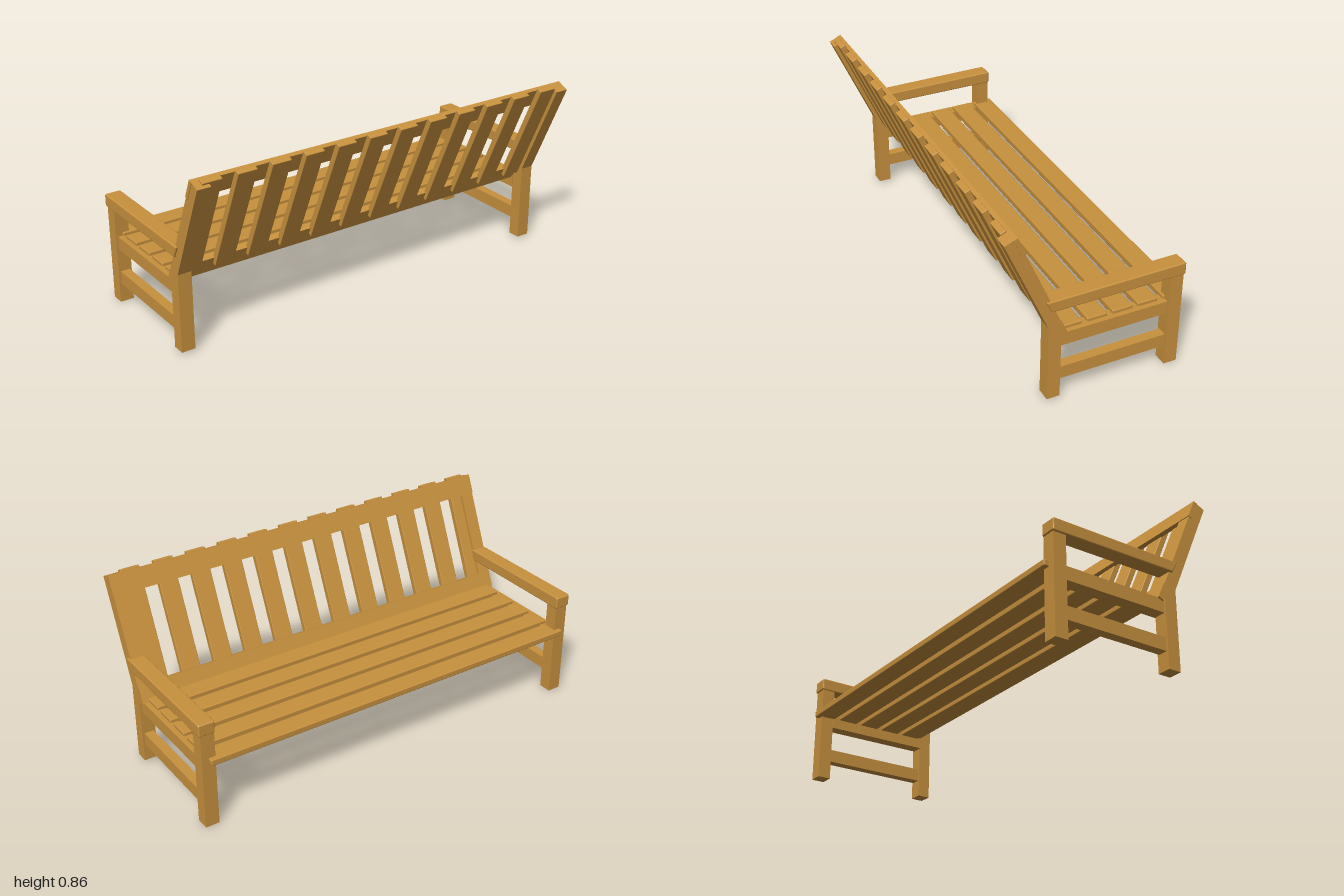
import * as THREE from 'three';
import { RoundedBoxGeometry } from 'three/addons/geometries/RoundedBoxGeometry.js';

const wood = new THREE.MeshStandardMaterial({ color: 0xc8913e });

// Box given by its extents on each axis; a radius softens the edges
function board(parent, name, [x0, x1], [y0, y1], [z0, z1], radius = 0) {
  const size = [x1 - x0, y1 - y0, z1 - z0];
  const geometry = radius
    ? new RoundedBoxGeometry(...size, 2, radius)
    : new THREE.BoxGeometry(...size);
  const mesh = new THREE.Mesh(geometry, wood);
  mesh.position.set((x0 + x1) / 2, (y0 + y1) / 2, (z0 + z1) / 2);
  mesh.name = name;
  parent.add(mesh);
}

// Side profile extruded between z0 and z1, with an optional rounded bevel
function profile(parent, name, points, z0, z1, bevel = 0) {
  const shape = new THREE.Shape(points.map(([x, y]) => new THREE.Vector2(x, y)));
  const geometry = new THREE.ExtrudeGeometry(shape, {
    depth: z1 - z0 - 2 * bevel,
    bevelEnabled: bevel > 0,
    bevelThickness: bevel,
    bevelSize: bevel,
    bevelOffset: -bevel,
    bevelSegments: 3,
  });
  geometry.translate(0, 0, z0 + bevel);
  const mesh = new THREE.Mesh(geometry, wood);
  mesh.name = name;
  parent.add(mesh);
}

// One end frame: legs, rails and armrest
function endFrame(side) {
  const frame = new THREE.Group();
  frame.name = side > 0 ? 'leftEndFrame' : 'rightEndFrame';
  // mirrored z range
  const zr = (a, b) => (side > 0 ? [a, b] : [-b, -a]);

  board(frame, 'frontLeg', [-0.405, -0.343], [0, 0.47], zr(0.925, 0.99));
  profile(frame, 'backPost', [
    [0.165, 0.01], [0.225, 0.01], [0.225, 0.38],
    [0.425, 0.835], [0.37, 0.859], [0.165, 0.39],
  ], ...zr(0.925, 0.99));
  board(frame, 'seatRail', [-0.345, 0.167], [0.265, 0.327], zr(0.92, 0.98));
  board(frame, 'lowerStretcher', [-0.345, 0.167], [0.092, 0.153], zr(0.935, 0.98));
  profile(frame, 'armrest', [
    [-0.41, 0.464], [-0.404, 0.458], [0.213, 0.46],
    [0.24, 0.514], [-0.404, 0.518], [-0.41, 0.512],
  ], ...zr(0.922, 0.998), 0.006);
  return frame;
}

export function createModel() {
  const bench = new THREE.Group();
  bench.name = 'bench';
  bench.add(endFrame(1), endFrame(-1));

  // Seat slats
  for (let i = 0; i < 5; i++) {
    const x = -0.428 + i * 0.1202;
    board(bench, 'seatSlat', [x, x + 0.095], [0.313, 0.343], [-0.957, 0.957], 0.005);
  }

  // Leaning backrest: local y runs up the slope, local x points backward
  const back = new THREE.Group();
  back.name = 'backrest';
  back.position.set(0.225, 0.38, 0);
  back.rotation.z = -Math.atan2(0.2, 0.455);
  board(back, 'topRail', [-0.063, -0.043], [0.404, 0.497], [-0.992, 0.992]);
  board(back, 'bottomRail', [-0.063, -0.034], [-0.085, -0.003], [-0.988, 0.988]);
  for (let i = 0; i < 12; i++) {
    const z = -0.881 + i * 0.163;
    board(back, 'backSlat', [-0.046, -0.017], [-0.04, 0.507], [z - 0.046, z + 0.046], 0.003);
  }
  bench.add(back);
  return bench;
}
